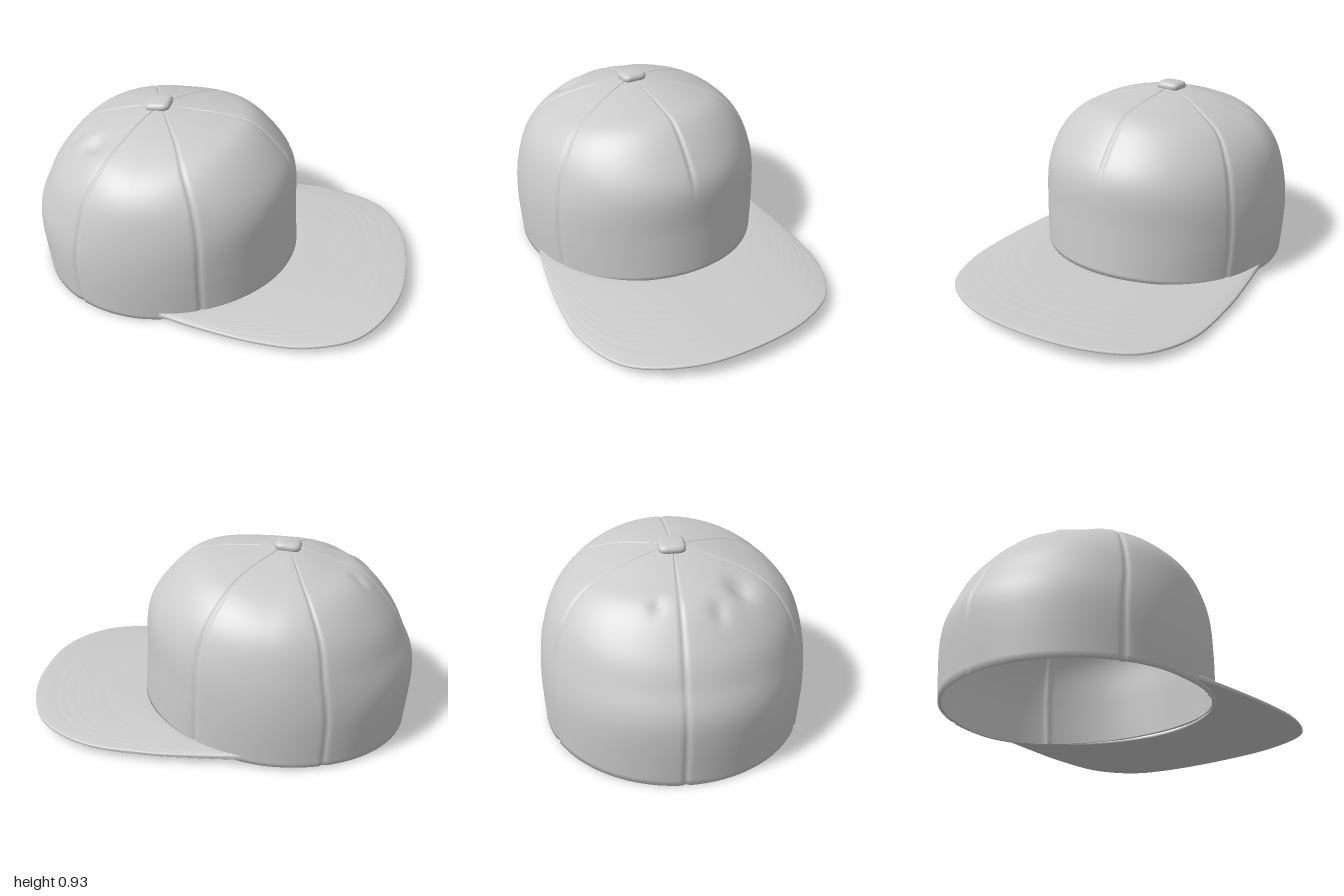
import * as THREE from 'three';

const CX = -0.33, CZ = -0.025; // crown axis
const lerp = THREE.MathUtils.lerp;
const rad = THREE.MathUtils.degToRad;

// Crown profiles from rim to apex: distance from the axis, height
const profile = (pts) => new THREE.SplineCurve(pts.map(([r, y]) => new THREE.Vector2(r, y)));
const FRONT = profile([[.73, .11], [.715, .35], [.70, .58], [.62, .72], [.48, .85], [.33, .885], [.15, .9], [0, .908]]);
const SIDE = profile([[.645, .025], [.655, .25], [.64, .45], [.585, .64], [.48, .76], [.32, .84], [.15, .888], [0, .908]]);
const BACK = profile([[.65, .01], [.67, .33], [.61, .5], [.54, .63], [.40, .785], [.25, .845], [.12, .885], [0, .908]]);
const SEAMS = [0, 63, 118, 182, 246, 300]; // degrees around the crown
const DENTS = [[-0.6, 0.25, .035, .06], [-0.73, 0.13, .02, .04], [-0.7, -0.14, .015, .035]]; // x, z, depth, radius

// Surface over a grid; fn(u, v) returns [x, y, z], u may wrap round
function surface(fn, nu, nv, wrap) {
  const pos = [], index = [], cols = wrap ? nu : nu + 1;
  for (let j = 0; j <= nv; j++)
    for (let i = 0; i < cols; i++) pos.push(...fn(i / nu, j / nv));
  for (let j = 0; j < nv; j++)
    for (let i = 0; i < nu; i++) {
      const a = j * cols + i, b = j * cols + (i + 1) % cols;
      index.push(a, a + cols, b, b, a + cols, b + cols);
    }
  const g = new THREE.BufferGeometry();
  g.setAttribute('position', new THREE.Float32BufferAttribute(pos, 3));
  g.setIndex(index);
  g.computeVertexNormals();
  return g;
}

// Strength of the nearest seam at an angle in degrees
function seam(deg, t) {
  let s = 0;
  for (const d of SEAMS) {
    const gap = Math.abs(((deg - d + 540) % 360) - 180);
    const fade = d === 0 ? THREE.MathUtils.smoothstep(t, .25, .4) : 1;
    s = Math.max(s, fade * Math.exp(-gap * gap / 0.9));
  }
  return s;
}

// Point of the crown; t runs from rim to apex
function crownPoint(a, t, inner) {
  const c = Math.cos(a), s = Math.sin(a);
  const along = (c > 0 ? FRONT : BACK).getPoint(t), side = SIDE.getPoint(t);
  const groove = seam(a * 180 / Math.PI, t);
  const k = (inner ? 0.975 : 1) - 0.014 * groove;
  const x = CX + along.x * c * k, z = CZ + side.x * s * k;
  let y = lerp(side.y, along.y, Math.abs(c) ** 1.5);
  if (t > 0.3) {
    y -= 0.006 * groove + (inner ? 0.016 * Math.min(1, (t - 0.3) * 4) : 0);
    for (const [dx, dz, depth, r] of DENTS)
      y -= depth * Math.exp(-((x - dx) ** 2 + (z - dz) ** 2) / (r * r));
  }
  return [x, y, z];
}

// Crown as a thin shell: inner apex, down to the rim, up to the outer apex
function crownGeometry() {
  return surface((u, v) => {
    const inner = v < 0.5;
    const t = inner ? 1 - v / 0.48 : (v - 0.5) / 0.5;
    return crownPoint(u * Math.PI * 2, Math.max(0, t), inner);
  }, 360, 100, true);
}

// Brim between the crown's rim and an outer outline, gently arched
function brimGeometry() {
  const outline = new THREE.CatmullRomCurve3([
    [-.203, -.665], [0, -.685], [.25, -.70], [.58, -.675], [.82, -.55], [.95, -.33], [1, -.02],
    [.965, .3], [.8, .57], [.54, .68], [.3, .69], [0, .655], [-.203, .615],
  ].map(([x, z]) => new THREE.Vector3(x, 0, z)), false, 'centripetal');
  return surface((u, v) => {
    const a = rad(lerp(-80, 80, u)), phi = v * Math.PI * 2;
    const out = outline.getPointAt(u), s = (1 - Math.cos(phi)) / 2;
    const x = lerp(CX + 0.718 * Math.cos(a), out.x, s);
    const z = lerp(CZ + 0.638 * Math.sin(a), out.z, s);
    const mid = 0.095 - 0.048 * Math.abs(z / 0.69) ** 2.5;
    const half = 0.0125 * Math.abs(Math.sin(phi)) ** 0.35;
    // faint stitched rows on the top face
    const rows = phi > Math.PI && s > 0.4 && s < 0.85 ? 0.001 * Math.sin(s * 75) : 0;
    return [x, mid + (phi < Math.PI ? -half : half) + rows, z];
  }, 120, 96, false);
}

// Button: a turned pad squared off in plan
function buttonGeometry() {
  const pts = [[0, -.025], [.05, -.025], [.062, -.014], [.066, 0], [.062, .012], [.05, .021], [.025, .024], [0, .025]];
  const shape = profile(pts);
  return surface((u, v) => {
    const a = u * Math.PI * 2, c = Math.cos(a), s = Math.sin(a), p = shape.getPoint(v);
    const r = Math.max(0, p.x) / (c ** 4 + s ** 4) ** 0.25;
    return [r * c, p.y, r * s];
  }, 40, 24, true);
}

export function createModel() {
  const group = new THREE.Group();
  group.name = 'cap';
  const material = new THREE.MeshStandardMaterial({ color: 0xcccccc, side: THREE.DoubleSide });
  const add = (name, geometry) => {
    const mesh = new THREE.Mesh(geometry, material);
    mesh.name = name;
    group.add(mesh);
    return mesh;
  };
  add('crown', crownGeometry());
  add('brim', brimGeometry());
  const button = add('button', buttonGeometry());
  button.position.set(-0.34, 0.912, -0.03);
  button.rotation.z = 0.1;
  return group;
}
